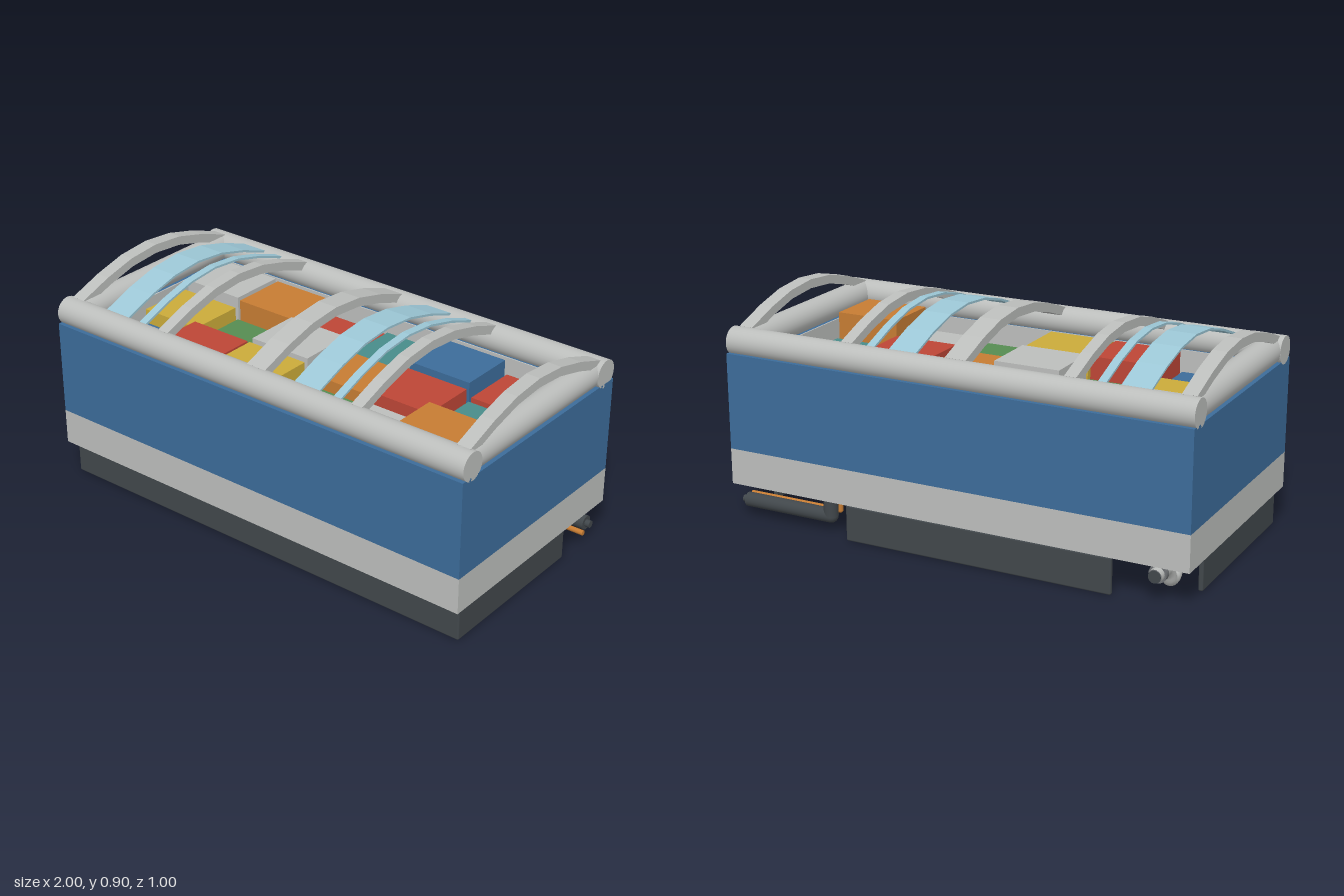
import * as THREE from 'three';
import { RoundedBoxGeometry } from 'three/addons/geometries/RoundedBoxGeometry.js';

export function createModel() {
  const model = new THREE.Group();
  model.name = 'islandFreezer';

  const mat = (name, color) => {
    const m = new THREE.MeshStandardMaterial({ color });
    m.name = name;
    return m;
  };
  const gray = mat('lightGray', 0xbcbebc);
  const blue = mat('blue', 0x3c6c9a);
  const dark = mat('charcoal', 0x41474b);
  const liner = mat('linerGray', 0x707376);
  const orange = mat('orange', 0xc67c33);
  const red = mat('red', 0xbd4636);
  const yellow = mat('yellow', 0xcbab3a);
  const green = mat('green', 0x568c52);
  const teal = mat('teal', 0x488c8a);
  const glass = mat('paleBlueGlass', 0x9cc7d6);

  const add = (name, geometry, material, x = 0, y = 0, z = 0) => {
    const mesh = new THREE.Mesh(geometry, material);
    mesh.name = name;
    mesh.position.set(x, y, z);
    model.add(mesh);
    return mesh;
  };
  const box = (name, material, w, h, d, x, y, z) =>
    add(name, new THREE.BoxGeometry(w, h, d), material, x, y, z);
  const rod = (name, material, radius, length, axis, x, y, z, sides = 20) => {
    const g = new THREE.CylinderGeometry(radius, radius, length, sides);
    if (axis === 'x') g.rotateZ(Math.PI / 2);
    if (axis === 'z') g.rotateX(Math.PI / 2);
    return add(name, g, material, x, y, z);
  };
  // Rectangular wall around an opening, standing from y0 to y1
  const wall = (name, material, hx, hz, ix, iz, y0, y1) => {
    const rect = (Type, a, b) => {
      const p = new Type();
      p.moveTo(-a, -b);
      p.lineTo(a, -b);
      p.lineTo(a, b);
      p.lineTo(-a, b);
      p.closePath();
      return p;
    };
    const shape = rect(THREE.Shape, hx, hz);
    shape.holes.push(rect(THREE.Path, ix, iz));
    const g = new THREE.ExtrudeGeometry(shape, { depth: y1 - y0, bevelEnabled: false });
    g.rotateX(-Math.PI / 2);
    add(name, g, material, 0, y0, 0);
  };

  // Cabinet
  box('lowerBand', gray, 2, 0.15, 1, 0, 0.225, 0);
  wall('bluePanels', blue, 1, 0.5, 0.89, 0.395, 0.3, 0.7);
  wall('innerLiner', gray, 0.89, 0.395, 0.884, 0.389, 0.3, 0.7);
  box('innerFloor', liner, 1.77, 0.1, 0.78, 0, 0.35, 0);

  // Round rim rails
  for (const s of [-1, 1]) {
    rod('longRail', gray, 0.058, 2, 'x', 0, 0.742, s * 0.442, 32);
    rod('endRail', gray, 0.058, 0.885, 'z', s * 0.942, 0.742, 0, 32);
  }

  // Arched strips over the opening
  const arch = (name, material, x, width, outer, inner) => {
    const mirror = (pts) => pts.slice(0, -1).reverse().map(([z, y]) => [-z, y]);
    const top = [...outer, ...mirror(outer)];
    const bottom = [...inner, ...mirror(inner)].reverse();
    const shape = new THREE.Shape([...top, ...bottom].map(([z, y]) => new THREE.Vector2(z, y)));
    const g = new THREE.ExtrudeGeometry(shape, { depth: width, bevelEnabled: false });
    g.translate(0, 0, -width / 2);
    g.rotateY(Math.PI / 2);
    add(name, g, material, x, 0, 0);
  };
  const hoopTop = [[0.43, 0.799], [0.285, 0.851], [0.145, 0.887], [0, 0.9]];
  const hoopBottom = [[0.4, 0.77], [0.36, 0.785], [0.275, 0.815], [0.14, 0.85], [0, 0.862]];
  for (const [x, w] of [[-0.95, 0.06], [-0.482, 0.05], [-0.003, 0.09], [0.478, 0.05], [0.95, 0.06]])
    arch('archedFrame', gray, x, w, hoopTop, hoopBottom);
  const paneTop = hoopTop.map(([z, y]) => [z * 0.98, y - 0.007]);
  const paneBottom = paneTop.map(([z, y]) => [z * 0.995, y - 0.009]);
  for (const [x, w] of [[-0.74, 0.12], [-0.604, 0.034], [0.235, 0.12], [0.378, 0.034]])
    arch('glassStrip', glass, x, w, paneTop, paneBottom);

  // Packed goods: three rows of six, colour and top height
  const goods = [
    [[gray, 0.7], [orange, 0.69], [red, 0.62], [teal, 0.63], [blue, 0.69], [red, 0.63]],
    [[yellow, 0.66], [green, 0.61], [gray, 0.71], [orange, 0.65], [red, 0.67], [teal, 0.62]],
    [[blue, 0.61], [red, 0.7], [yellow, 0.7], [green, 0.61], [gray, 0.63], [orange, 0.73]],
  ];
  goods.forEach((row, r) => row.forEach(([m, top], c) => {
    box('package', m, 0.283, top - 0.4, 0.244, (c - 2.5) * 0.294, (top + 0.4) / 2, (r - 1) * 0.261);
  }));

  // Kick plates around the base
  const plate = (name, x0, x1, z0, z1) =>
    add(name, new RoundedBoxGeometry(x1 - x0, 0.15, z1 - z0, 2, 0.007), dark,
      (x0 + x1) / 2, 0.075, (z0 + z1) / 2);
  plate('frontKickPlate', -0.98, 0.98, 0.44, 0.46);
  plate('leftKickPlate', 0.96, 0.98, -0.25, 0.46);
  plate('rightKickPlate', -0.98, -0.96, -0.31, 0.46);
  plate('backKickPlate', -0.69, 0.46, -0.5, -0.48);

  // Drain trap
  const px = -0.86;
  const path = new THREE.CatmullRomCurve3([
    [0.15, -0.285], [0.07, -0.285], [0.045, -0.298], [0.037, -0.32], [0.045, -0.343],
    [0.075, -0.36], [0.1, -0.385], [0.106, -0.42], [0.106, -0.49],
  ].map(([y, z]) => new THREE.Vector3(px, y, z)));
  add('drainTrap', new THREE.TubeGeometry(path, 32, 0.029, 14), gray);
  rod('drainCollar', liner, 0.036, 0.024, 'y', px, 0.117, -0.285);
  rod('outletCollar', liner, 0.036, 0.024, 'z', px, 0.106, -0.45);
  rod('outletOpening', dark, 0.025, 0.004, 'z', px, 0.106, -0.491);

  // Insulated pipe and copper pipe at the back corner
  rod('insulatedPipe', dark, 0.03, 0.4, 'x', 0.77, 0.065, -0.435);
  rod('insulatedRiser', dark, 0.03, 0.09, 'y', 0.57, 0.108, -0.435);
  add('insulatedElbow', new THREE.SphereGeometry(0.03, 16, 12), dark, 0.57, 0.065, -0.435);
  rod('pipeCore', dark, 0.015, 0.02, 'x', 0.98, 0.065, -0.435);
  rod('copperPipe', orange, 0.011, 0.43, 'x', 0.785, 0.063, -0.365, 12);
  rod('copperRiser', orange, 0.011, 0.09, 'y', 0.57, 0.107, -0.365, 12);
  add('copperElbow', new THREE.SphereGeometry(0.011, 12, 8), orange, 0.57, 0.063, -0.365);

  return model;
}
